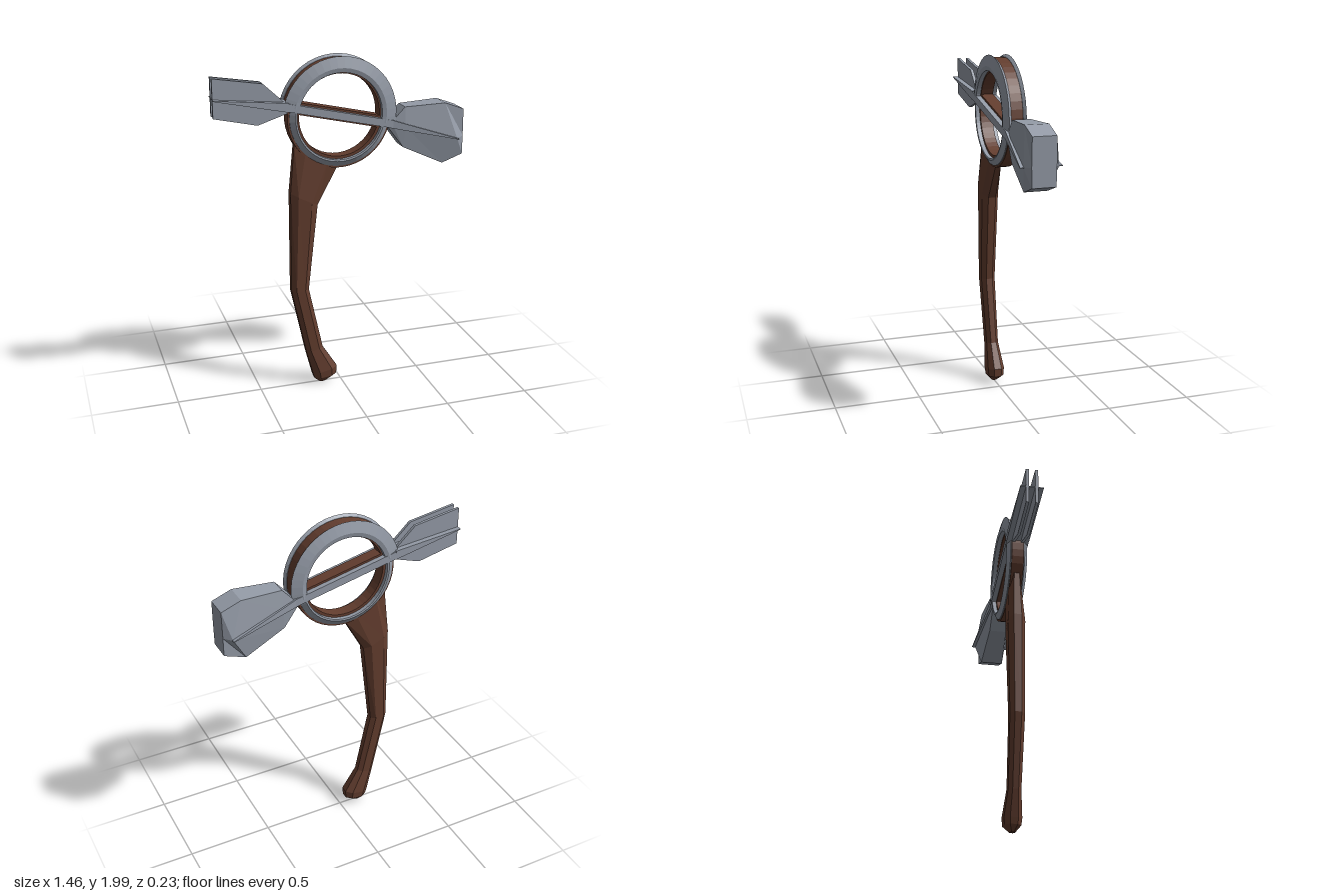
import * as THREE from 'three';

const CX = -0.015, CY = 1.667;          // centre of the ring
const TILT = -0.222;                    // slope of the head's axis

// Flat-shaded solid through a list of equal-sized cross-sections
function loft(sections, capped = true) {
  const pos = [];
  const tri = (a, b, c) => pos.push(...a, ...b, ...c);
  const n = sections[0].length;
  for (let i = 0; i < sections.length - 1; i++) {
    const p = sections[i], q = sections[i + 1];
    for (let j = 0; j < n; j++) {
      const k = (j + 1) % n;
      tri(p[j], p[k], q[k]);
      tri(p[j], q[k], q[j]);
    }
  }
  if (capped) {
    const a = sections[0], b = sections[sections.length - 1];
    for (let j = 1; j < n - 1; j++) {
      tri(a[0], a[j + 1], a[j]);
      tri(b[0], b[j], b[j + 1]);
    }
  }
  // Turn the faces outward if the enclosed volume is negative
  let volume = 0;
  const v = [0, 1, 2].map(() => new THREE.Vector3());
  for (let i = 0; i < pos.length; i += 9) {
    v.forEach((w, k) => w.fromArray(pos, i + k * 3));
    volume += v[0].dot(v[1].clone().cross(v[2]));
  }
  if (volume < 0) {
    for (let i = 0; i < pos.length; i += 9) {
      for (let k = 0; k < 3; k++) {
        [pos[i + 3 + k], pos[i + 6 + k]] = [pos[i + 6 + k], pos[i + 3 + k]];
      }
    }
  }
  const g = new THREE.BufferGeometry();
  g.setAttribute('position', new THREE.Float32BufferAttribute(pos, 3));
  g.computeVertexNormals();
  return g;
}

// Half ring: sweeps a [radius, z] profile over 180 degrees from a start angle
function halfRing(profile, start, steps = 22) {
  const sections = [];
  for (let i = 0; i <= steps; i++) {
    const a = start + Math.PI * i / steps;
    sections.push(profile.map(([r, z]) => [CX + r * Math.cos(a), CY + r * Math.sin(a), z]));
  }
  return loft(sections);
}

export function createModel() {
  const model = new THREE.Group();
  model.name = 'ceremonialAxe';
  const steel = new THREE.MeshStandardMaterial({ color: 0x969da9 });
  steel.name = 'steel';
  const wood = new THREE.MeshStandardMaterial({ color: 0x643e2f });
  wood.name = 'wood';
  const add = (name, geometry, material) => {
    const mesh = new THREE.Mesh(geometry, material);
    mesh.name = name;
    model.add(mesh);
    return mesh;
  };

  // Handle: chamfered sections given as left edge, right edge, half depth
  const grip = [
    [-0.275, 1.52, -0.02, 1.372, 0.034],
    [-0.302, 1.23, -0.143, 1.15, 0.05],
    [-0.305, 0.63, -0.2, 0.63, 0.042],
    [-0.218, 0.22, -0.117, 0.245, 0.036],
    [-0.18, 0.075, -0.03, 0.105, 0.05],
    [-0.17, 0.04, -0.033, 0.055, 0.046],
    [-0.135, 0.006, -0.095, 0.01, 0.015],
  ];
  add('handle', loft(grip.map(([lx, ly, rx, ry, d]) =>
    [[0, 0.45], [0.25, 1], [0.75, 1], [1, 0.45], [1, -0.45], [0.75, -1], [0.25, -1], [0, -0.45]]
      .map(([t, z]) => [lx + (rx - lx) * t, ly + (ry - ly) * t, z * d]))), wood);

  // Wooden ring, slightly larger in its upper half
  const rim = (r) => [[0.236, -0.036], [r, -0.036], [r, 0.036], [0.236, 0.036]];
  add('ringCoreUpper', halfRing(rim(0.318), TILT), wood);
  add('ringCoreLower', halfRing(rim(0.303), TILT + Math.PI), wood);

  // Steel bands on both faces of the ring
  const upper = [[0.245, 0.034], [0.245, 0.062], [0.27, 0.067], [0.333, 0.05], [0.32, 0.034]];
  const lower = [[0.252, 0.034], [0.252, 0.06], [0.262, 0.062], [0.292, 0.042], [0.292, 0.034]];
  for (const [side, s] of [['front', 1], ['back', -1]]) {
    const flip = (profile) => profile.map(([r, z]) => [r, z * s]);
    add(side + 'UpperBand', halfRing(flip(upper), TILT), steel);
    add(side + 'LowerBand', halfRing(flip(lower), TILT + Math.PI), steel);

    // Steel strip across the ring
    const strip = add(side + 'CrossStrip', new THREE.BoxGeometry(0.64, 0.044, 0.031), steel);
    strip.position.set(CX, CY, s * 0.05);
    strip.rotation.z = TILT;

    // Flat tail fin
    const fin = [
      [-0.31, 1.76, -0.30, 1.70],
      [-0.335, 1.765, -0.31, 1.70],
      [-0.45, 1.872, -0.485, 1.643],
      [-0.73, 1.917, -0.73, 1.698],
    ];
    add(side + 'TailFin', loft(fin.map(([tx, ty, bx, by]) =>
      [[tx, ty, s * 0.018], [tx, ty, s * 0.035], [bx, by, s * 0.035], [bx, by, s * 0.018]])), steel);
  }

  // Wooden crossbar between the strips
  const bar = add('crossbar', new THREE.BoxGeometry(0.54, 0.068, 0.072), wood);
  bar.position.set(CX, CY, 0);
  bar.rotation.z = TILT;

  // Wedges tapering out from the bar: x, top y, bottom y, half depth
  const wedge = (stations) => loft(stations.map(([x, t, b, d]) =>
    [[x, t, d], [x, b, d], [x, b, -d], [x, t, -d]]));
  add('tailWedge', wedge([[-0.315, 1.762, 1.71, 0.066], [-0.73, 1.803, 1.799, 0.066]]), steel);
  add('hammerWedge', wedge([[0.285, 1.622, 1.575, 0.064], [0.683, 1.494, 1.489, 0.117]]), steel);

  // Hammer head: top edge, ridge and bottom edge, each as x, y, half depth
  const head = [
    [[0.305, 1.62, 0.048], [0.29, 1.60, 0.058], [0.27, 1.578, 0.048]],
    [[0.37, 1.69, 0.052], [0.37, 1.575, 0.066], [0.362, 1.455, 0.052]],
    [[0.61, 1.70, 0.067], [0.68, 1.49, 0.097], [0.60, 1.345, 0.067]],
    [[0.725, 1.657, 0.067], [0.725, 1.50, 0.069], [0.725, 1.39, 0.067]],
  ];
  add('hammerHead', loft(head.map((side) => [
    ...side,
    ...side.slice().reverse().map(([x, y, z]) => [x, y, -z]),
  ])), steel);

  return model;
}
